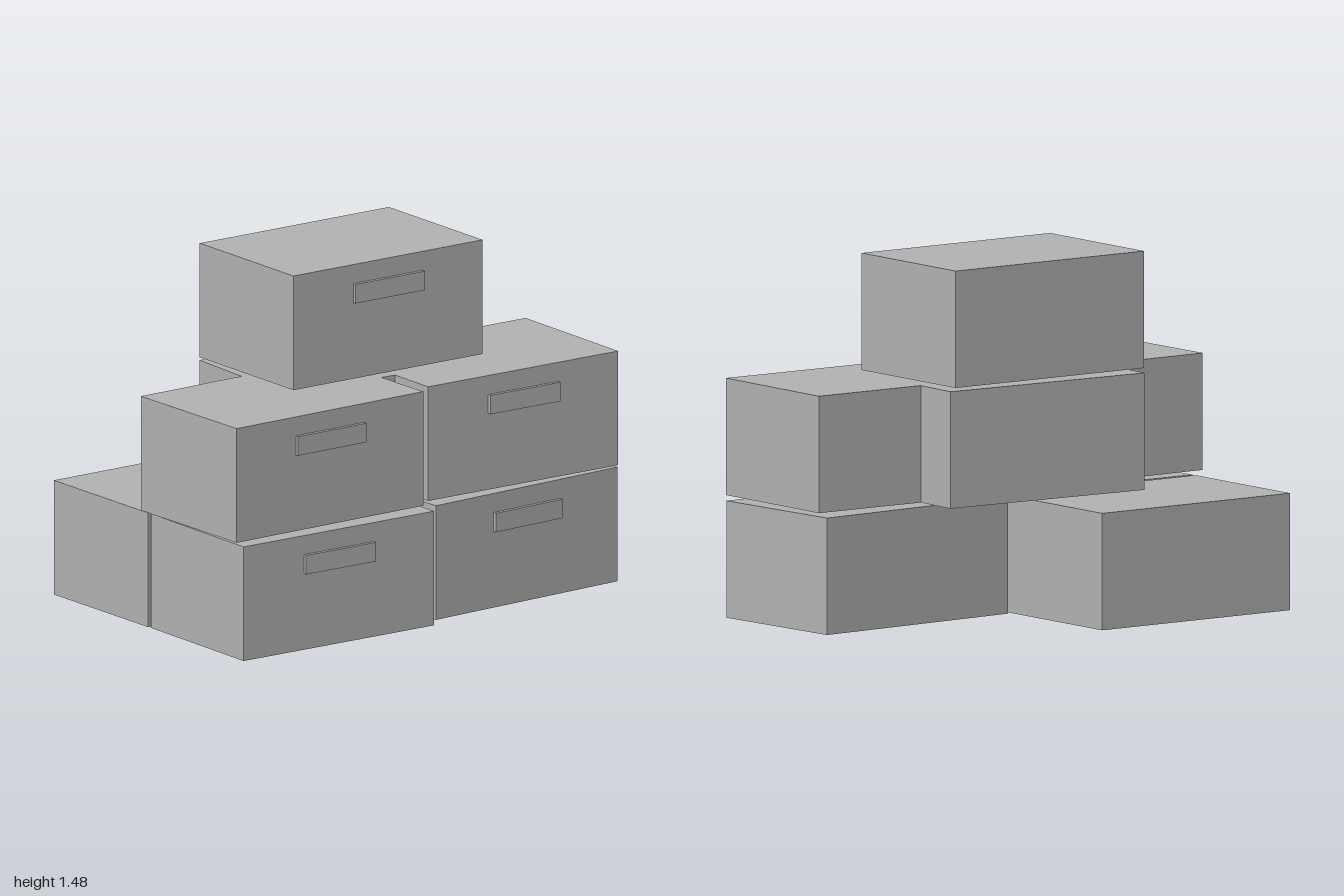
import * as THREE from 'three';

// Shared carton size and layer heights
const W = 0.955, H = 0.48, D = 0.64;
const LAYERS = [0, 0.498, 0.995];

// name, layer, centre x, centre z, turn about y
const BOXES = [
  ['bottomRightBox', 0, -0.487, 0.322, -0.015],
  ['bottomLeftBox', 0, 0.505, 0.243, 0.047],
  ['bottomBackBox', 0, -0.485, -0.343, 0],
  ['middleRightBox', 1, -0.52, 0.294, 0.013],
  ['middleLeftBox', 1, 0.503, 0.246, -0.013],
  ['middleCentreBox', 1, -0.01, 0.01, -0.047],
  ['topBox', 2, -0.007, 0.008, -0.005],
];

export function createModel() {
  const model = new THREE.Group();
  model.name = 'stackedBoxes';

  const grey = new THREE.MeshStandardMaterial({ color: 0xb4b4b4 });
  grey.name = 'grey';

  const cartonGeometry = new THREE.BoxGeometry(W, H, D);
  const labelGeometry = new THREE.BoxGeometry(0.35, 0.08, 0.032);

  for (const [name, layer, x, z, turn] of BOXES) {
    const box = new THREE.Group();
    box.name = name;
    box.position.set(x, LAYERS[layer], z);
    box.rotation.y = turn;

    const carton = new THREE.Mesh(cartonGeometry, grey);
    carton.name = 'carton';
    carton.position.y = H / 2;

    // Raised plate on the upper front, half sunk into the carton
    const label = new THREE.Mesh(labelGeometry, grey);
    label.name = 'label';
    label.position.set(0, 0.36, D / 2);

    box.add(carton, label);
    model.add(box);
  }
  return model;
}
